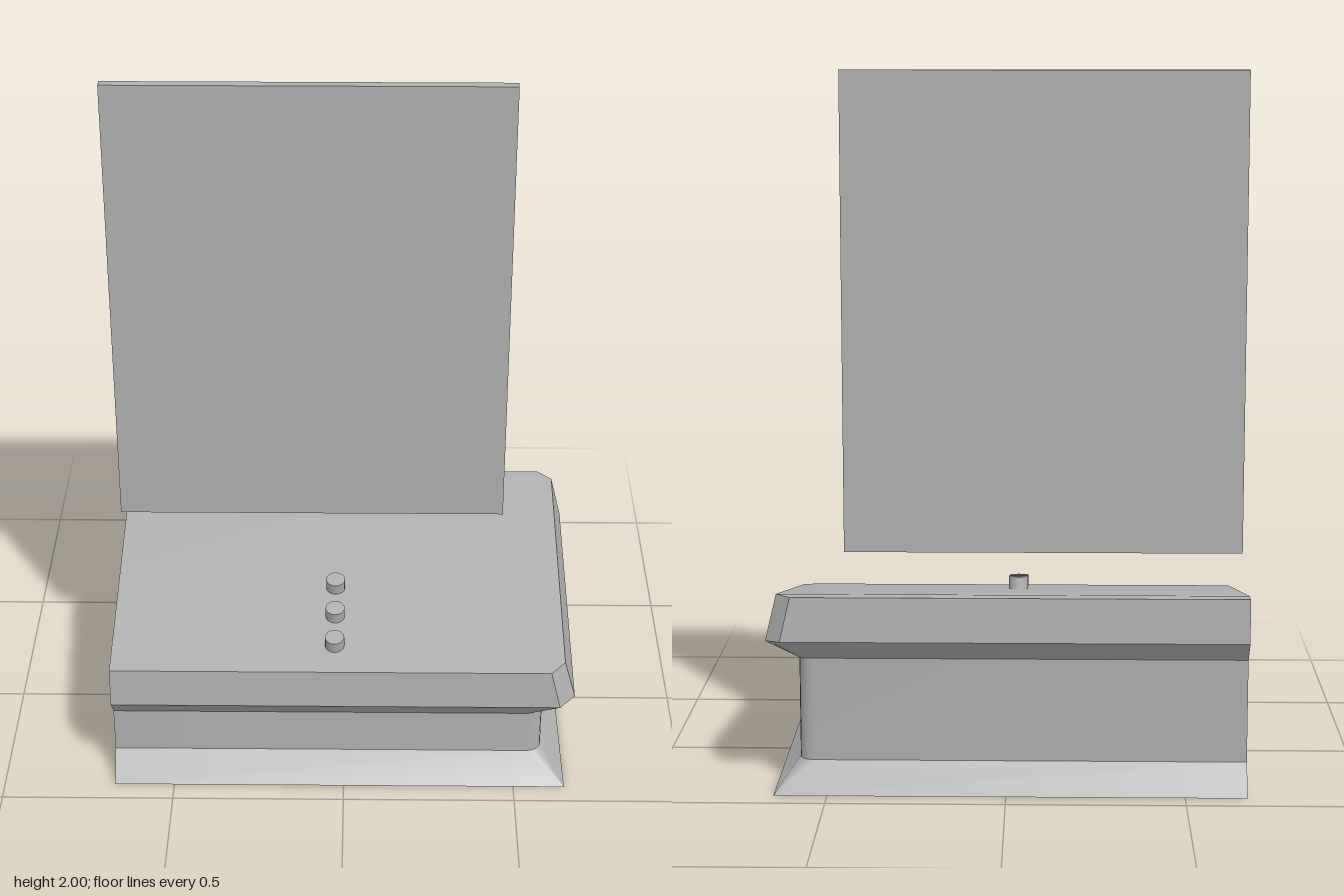
import * as THREE from 'three';
import { toCreasedNormals } from 'three/addons/utils/BufferGeometryUtils.js';

const LEFT = -0.675; // open end of the shell
const STEPS = 4;     // segments per corner

// Open U-shaped ring: front edge, right end, back edge; corners are chamfered or rounded by c.
function ring(x, z, c, round, heightAt) {
  const corner = [];
  for (let i = 0; i <= STEPS; i++) {
    const t = i / STEPS, a = t * Math.PI / 2;
    const dx = round ? 1 - Math.sin(a) : 1 - t;
    const dz = round ? 1 - Math.cos(a) : t;
    corner.push([x - c * dx, z - c * dz]);
  }
  const plan = [[LEFT, z], ...corner, ...corner.map(([px, pz]) => [px, -pz]).reverse(), [LEFT, -z]];
  return plan.map(([px, pz]) => new THREE.Vector3(px, heightAt(pz), pz));
}

// Height that slopes linearly from the front edge to the back edge
const slope = (z, front, back) => (pz) => front + (back - front) * (z - pz) / (2 * z);

function shellGeometry(rings, closeTop) {
  const pos = [];
  const tri = (a, b, c) => {
    const area = b.clone().sub(a).cross(c.clone().sub(a)).length();
    if (area > 1e-8) for (const p of [a, b, c]) pos.push(p.x, p.y, p.z);
  };
  for (let r = 0; r + 1 < rings.length; r++) {
    const lo = rings[r], hi = rings[r + 1];
    for (let i = 0; i + 1 < lo.length; i++) {
      tri(lo[i], lo[i + 1], hi[i + 1]);
      tri(lo[i], hi[i + 1], hi[i]);
    }
  }
  if (closeTop) {
    // sloping face, then the level strip along the back
    const top = rings[rings.length - 1];
    const k = STEPS + 2;
    const split = new THREE.Vector3(LEFT, top[k].y, top[k].z);
    const fan = (pts) => {
      for (let i = 1; i + 1 < pts.length; i++) tri(pts[0], pts[i], pts[i + 1]);
    };
    fan([...top.slice(0, k + 1), split]);
    fan([split, ...top.slice(k)]);
  }
  const g = new THREE.BufferGeometry();
  g.setAttribute('position', new THREE.Float32BufferAttribute(pos, 3));
  return toCreasedNormals(g, Math.PI / 6);
}

export function createModel() {
  const model = new THREE.Group();
  const grey = new THREE.MeshStandardMaterial({ color: 0xb0b0b0, side: THREE.DoubleSide });
  grey.name = 'grey';
  const add = (name, geometry) => {
    const mesh = new THREE.Mesh(geometry, grey);
    mesh.name = name;
    model.add(mesh);
    return mesh;
  };

  // Console shell, open below and at its left end
  const foot = ring(0.65, 0.436, 0, false, () => 0);
  const neckLow = ring(0.582, 0.373, 0.042, true, () => 0.085);
  const neckHigh = ring(0.582, 0.373, 0.042, true, slope(0.373, 0.222, 0.38));
  const rimLow = ring(0.672, 0.428, 0.045, false, slope(0.428, 0.285, 0.44));
  const rimHigh = ring(0.64, 0.419, 0.042, false,
    (z) => Math.min(0.565, 0.4 + (0.419 - z) * 0.207));
  add('foot', shellGeometry([foot, neckLow], false));
  add('neck', shellGeometry([neckLow, neckHigh], false));
  add('cap', shellGeometry([neckHigh, rimLow, rimHigh], true));

  // Row of buttons standing square to the sloping top
  const tilt = Math.atan(0.207);
  for (const z of [0.092, 0.206, 0.32]) {
    const button = add('button', new THREE.CylinderGeometry(0.028, 0.028, 0.04, 16));
    button.rotation.x = tilt;
    button.position.set(-0.027, 0.4 + (0.419 - z) * 0.207 + 0.016, z);
  }

  // Upright screen floating above the console
  const screen = add('screen', new THREE.BoxGeometry(1.148, 1.377, 0.029));
  screen.position.set(-0.101, 1.3115, -0.094);
  return model;
}
